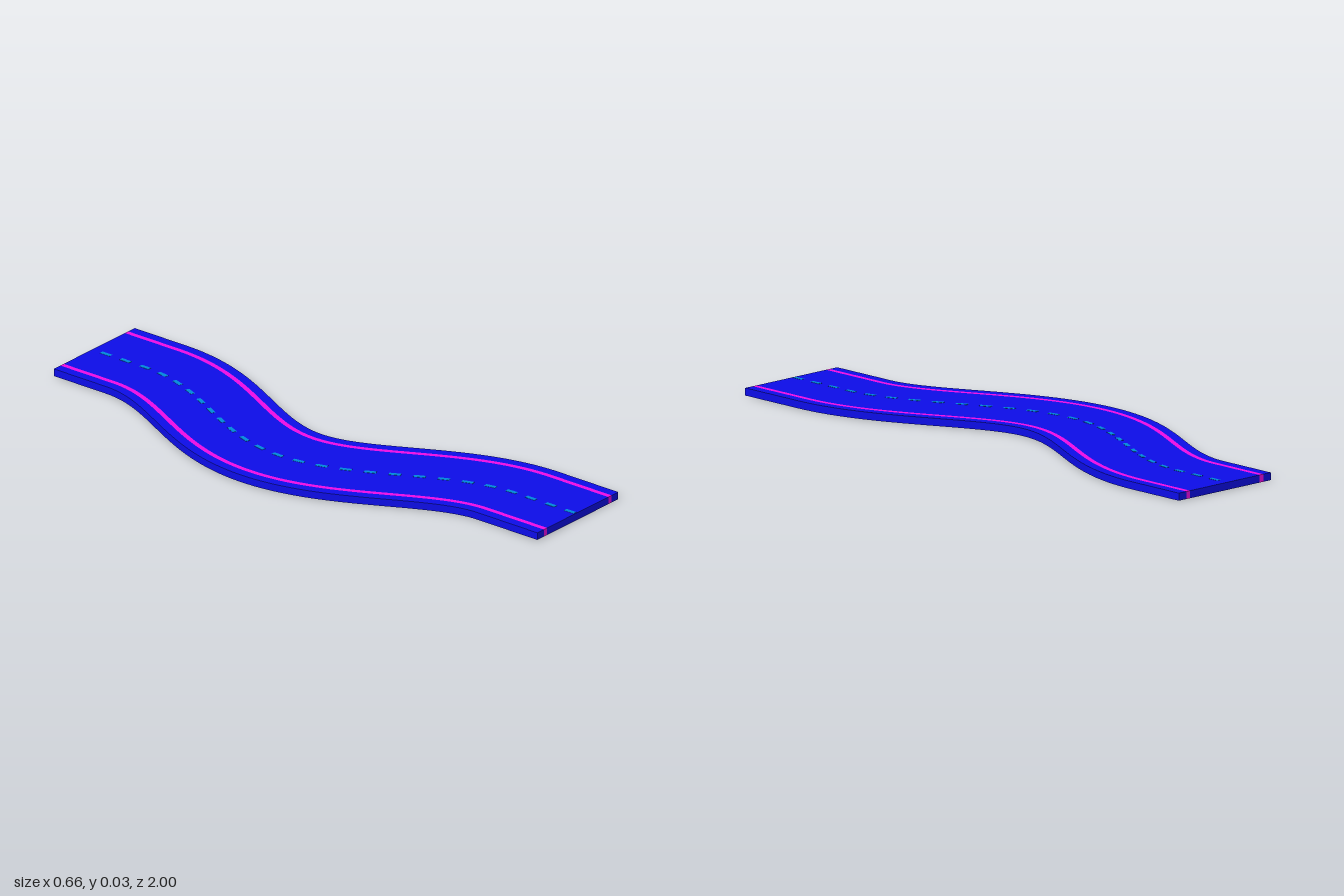
import * as THREE from 'three';
import { toCreasedNormals } from 'three/addons/utils/BufferGeometryUtils.js';

// Centre line: straight ends joined by one smooth sideways swing
class RoadCurve extends THREE.Curve {
  getPoint(t, target = new THREE.Vector3()) {
    const z = 1 - 2 * t;
    const d = Math.min(Math.abs(z + 0.015) / 0.77, 1);
    return target.set(-0.0025 - 0.1275 * Math.cos(Math.PI * d), 0, z);
  }
}

const road = new RoadCurve();
road.arcLengthDivisions = 800;

// Solid band following the road between two side offsets and two heights
function band(a, b, y0, y1, t0, t1, steps) {
  const pos = [], index = [];
  for (let i = 0; i <= steps; i++) {
    const t = t0 + (t1 - t0) * i / steps;
    const p = road.getPointAt(t);
    const dir = road.getTangentAt(t);
    // keep both ends square to the road's long axis
    if (t < 1e-6 || t > 1 - 1e-6) dir.set(0, 0, -1);
    for (const [o, y] of [[a, y0], [b, y0], [b, y1], [a, y1]]) {
      pos.push(p.x - dir.z * o, y, p.z + dir.x * o);
    }
  }
  for (let i = 0; i < steps; i++) {
    for (let k = 0; k < 4; k++) {
      const p = i * 4 + k, q = i * 4 + (k + 1) % 4;
      index.push(p, q + 4, q, p, p + 4, q + 4);
    }
  }
  const e = steps * 4;
  index.push(0, 1, 2, 0, 2, 3, e, e + 2, e + 1, e, e + 3, e + 2);
  const geo = new THREE.BufferGeometry();
  geo.setAttribute('position', new THREE.Float32BufferAttribute(pos, 3));
  geo.setIndex(index);
  return toCreasedNormals(geo, Math.PI / 6);
}

export function createModel() {
  const group = new THREE.Group();
  const blue = new THREE.MeshStandardMaterial({ color: 0x0d0de8 });
  const pink = new THREE.MeshStandardMaterial({ color: 0xee0ce6 });
  const cyan = new THREE.MeshStandardMaterial({ color: 0x0088dd });

  const add = (name, geo, mat, parent = group) => {
    const mesh = new THREE.Mesh(geo, mat);
    mesh.name = name;
    parent.add(mesh);
  };

  const top = 0.025, half = 0.204, lineIn = 0.154, lineOut = 0.171, steps = 96;

  // Roadway between the side lines
  add('roadway', band(-lineIn, lineIn, 0, top, 0, 1, steps), blue);

  // Side lines run through the full thickness, with a shoulder outside each
  add('leftLine', band(lineIn, lineOut, 0, top, 0, 1, steps), pink);
  add('rightLine', band(-lineOut, -lineIn, 0, top, 0, 1, steps), pink);
  add('leftShoulder', band(lineOut, half, 0, top, 0, 1, steps), blue);
  add('rightShoulder', band(-half, -lineOut, 0, top, 0, 1, steps), blue);

  // Dashed centre line, laid thinly on top
  const dashes = new THREE.Group();
  dashes.name = 'centreDashes';
  const count = 26;
  for (let i = 0; i < count; i++) {
    const t0 = (i + 0.05) / count, t1 = (i + 0.54) / count;
    add('centreDash', band(-0.017, -0.002, top - 0.002, top + 0.0008, t0, t1, 4), cyan, dashes);
  }
  group.add(dashes);
  return group;
}
